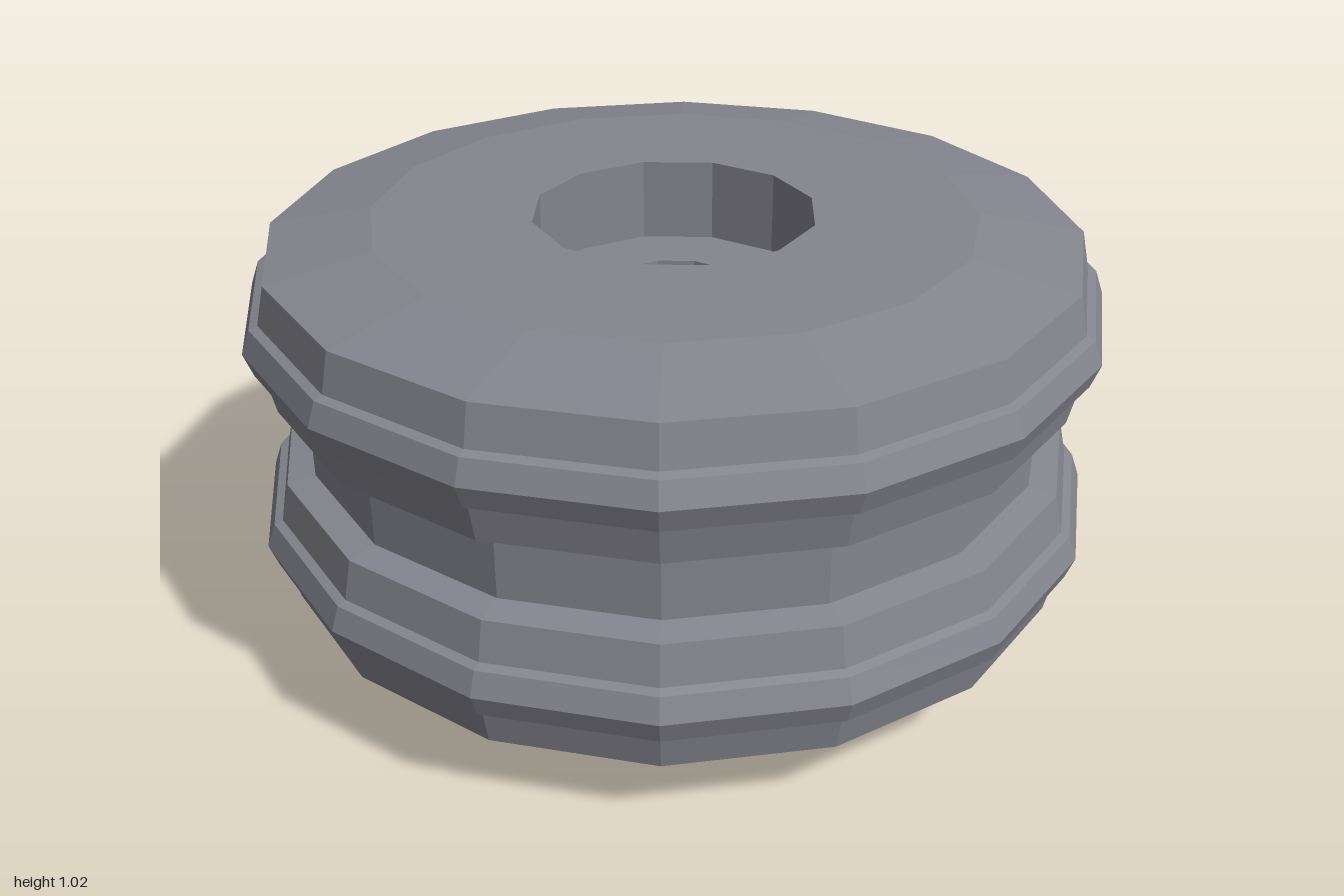
import * as THREE from 'three';

const dark = new THREE.MeshStandardMaterial({ color: 0x85858f, flatShading: true });
const grey = new THREE.MeshStandardMaterial({ color: 0xcccccc, flatShading: true });

function add(parent, name, geometry, material) {
  const mesh = new THREE.Mesh(geometry, material);
  mesh.name = name;
  parent.add(mesh);
  return mesh;
}

// Revolve [radius, y] pairs around the axle
function lathe(points, sides) {
  return new THREE.LatheGeometry(points.map(([r, y]) => new THREE.Vector2(r, y)), sides);
}

// Corners of a regular polygon with one corner on the x axis
function polygon(radius, sides) {
  return Array.from({ length: sides }, (_, i) => {
    const a = (i / sides) * Math.PI * 2;
    return new THREE.Vector2(radius * Math.cos(a), radius * Math.sin(a));
  });
}

// Flat upward-facing polygon with a polygonal hole
function flatRing(outer, outerSides, inner, innerSides, y) {
  const shape = new THREE.Shape(polygon(outer, outerSides));
  shape.holes.push(new THREE.Path(polygon(inner, innerSides)));
  return new THREE.ShapeGeometry(shape).rotateX(-Math.PI / 2).translate(0, y, 0);
}

export function createModel() {
  const model = new THREE.Group();
  model.name = 'doubleWheel';

  // Tyre section, relative to its ridge: [radius, offset]
  const half = [[0.7, 0.195], [0.94, 0.152], [0.96, 0.062], [0.98, 0.055]];
  const section = [
    ...half.map(([r, y]) => [r, -y]),
    [1, 0],
    ...half.slice().reverse(),
  ];

  // Two tyres, one above the other, with a narrower drum between them
  for (const [name, y] of [['lowerTyre', 0.33], ['upperTyre', 0.822]]) {
    add(model, name, lathe(section.map(([r, dy]) => [r, y + dy]), 16), dark);
  }
  add(model, 'drum', lathe([[0.875, 0.45], [0.875, 0.7]], 16), dark);

  // Flat faces of the wheel
  add(model, 'upperFace', flatRing(0.7, 16, 0.33, 12, 1.017), dark);
  add(model, 'lowerFace', lathe([[0, 0.135], [0.7, 0.135]], 16), dark);

  // Stepped recess in the upper face
  const recess = [[0.33, 1.017], [0.33, 0.82], [0.17, 0.82], [0.17, 0.7], [0, 0.7]];
  add(model, 'recess', lathe(recess, 12), dark);

  // Axle end at the bottom of the recess
  const pin = new THREE.CylinderGeometry(0.062, 0.062, 0.6, 12).translate(0, 0.42, 0);
  add(model, 'axle', pin, grey);

  // Stepped hub cap below the wheel
  const cap = [[0, 0], [0.187, 0], [0.187, 0.045], [0.327, 0.045], [0.327, 0.14], [0, 0.14]];
  add(model, 'hubCap', lathe(cap, 12), grey);

  return model;
}
